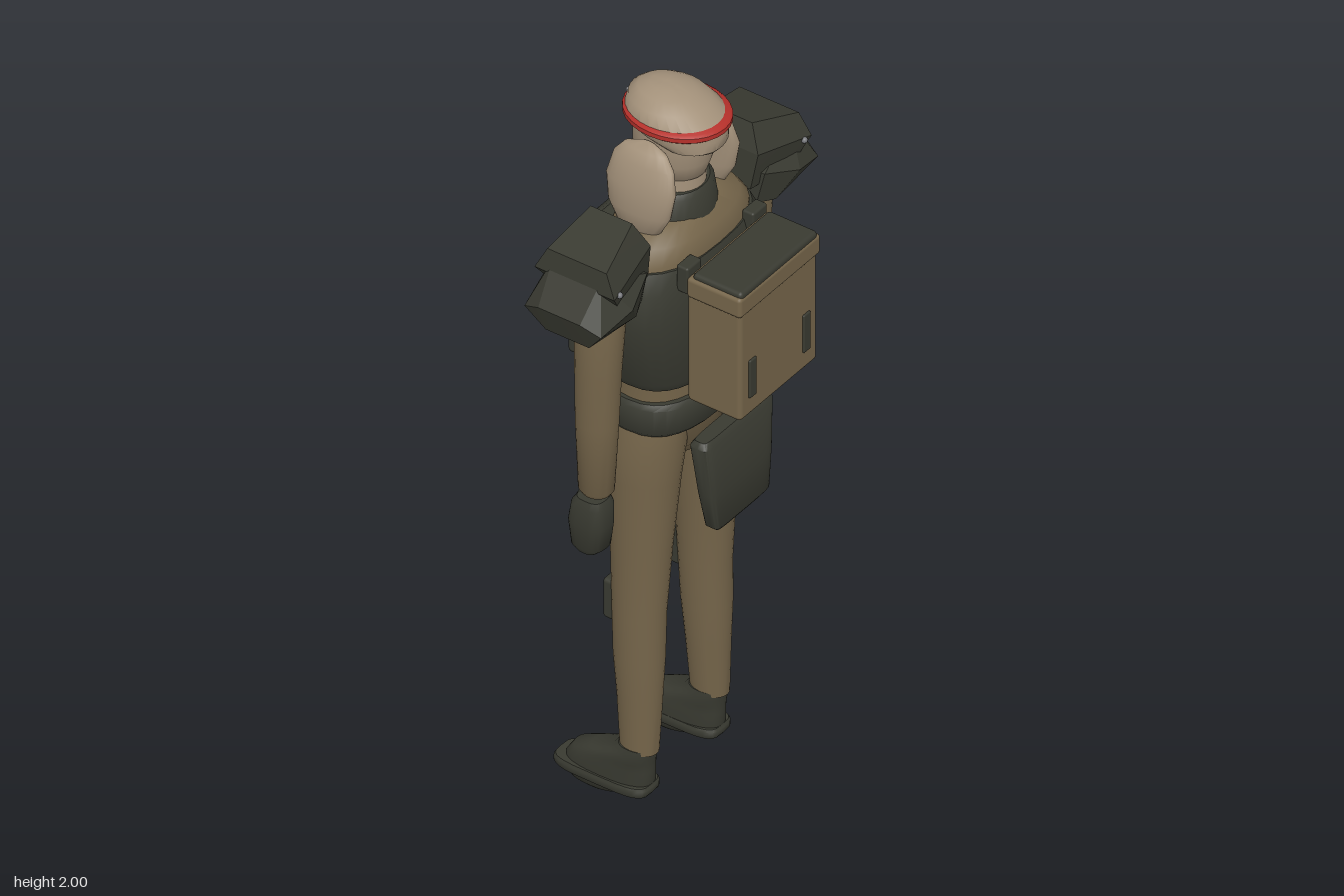
import * as THREE from 'three';
import { toCreasedNormals } from 'three/addons/utils/BufferGeometryUtils.js';
import { RoundedBoxGeometry } from 'three/addons/geometries/RoundedBoxGeometry.js';
import { ConvexGeometry } from 'three/addons/geometries/ConvexGeometry.js';

const mat = (name, color) => {
  const m = new THREE.MeshStandardMaterial({ color });
  m.name = name;
  return m;
};

// Closed solid through superellipse sections [y, cx, cz, rx, rz], listed bottom to top
function loft(sections, power = 2, seg = 28) {
  const pos = [], idx = [];
  for (const [y, cx, cz, rx, rz] of sections) {
    for (let i = 0; i < seg; i++) {
      const a = (i / seg) * Math.PI * 2, c = Math.cos(a), s = Math.sin(a);
      pos.push(cx + rx * Math.sign(c) * Math.abs(c) ** (2 / power), y,
        cz + rz * Math.sign(s) * Math.abs(s) ** (2 / power));
    }
  }
  const n = sections.length;
  for (let r = 0; r < n - 1; r++) {
    for (let i = 0; i < seg; i++) {
      const a = r * seg + i, b = r * seg + (i + 1) % seg;
      idx.push(a, a + seg, b, b, a + seg, b + seg);
    }
  }
  // end caps
  [0, n - 1].forEach((r, top) => {
    const centre = pos.length / 3;
    pos.push(sections[r][1], sections[r][0], sections[r][2]);
    for (let i = 0; i < seg; i++) {
      const a = r * seg + i, b = r * seg + (i + 1) % seg;
      idx.push(centre, ...(top ? [b, a] : [a, b]));
    }
  });
  const g = new THREE.BufferGeometry();
  g.setAttribute('position', new THREE.Float32BufferAttribute(pos, 3));
  g.setIndex(idx);
  return toCreasedNormals(g, 0.75);
}

export function createModel() {
  const cloth = mat('tan cloth', 0x75654a);
  const skin = mat('pale skin', 0xa3917a);
  const dark = mat('dark armour', 0x393a31);
  const red = mat('red band', 0xb5302a);
  const metal = mat('grey metal', 0x77787c);

  const model = new THREE.Group();
  const add = (name, geo, m, parent = model) => {
    const mesh = new THREE.Mesh(geo, m);
    mesh.name = name;
    parent.add(mesh);
    return mesh;
  };
  // Rounded box given by its extents
  const box = (name, m, [x0, x1], [y0, y1], [z0, z1], r = 0.008, parent = model) => {
    const mesh = add(name, new RoundedBoxGeometry(x1 - x0, y1 - y0, z1 - z0, 2, r), m, parent);
    mesh.position.set((x0 + x1) / 2, (y0 + y1) / 2, (z0 + z1) / 2);
    return mesh;
  };
  const ball = (name, m, c, r, parent = model) => {
    const mesh = add(name, new THREE.SphereGeometry(1, 28, 18), m, parent);
    mesh.position.set(...c);
    mesh.scale.set(...r);
    return mesh;
  };

  // Head, cap and band
  add('head', loft([[1.755, 0, -0.035, 0.04, 0.06], [1.775, 0, -0.035, 0.07, 0.085],
    [1.82, 0, -0.035, 0.085, 0.1], [1.88, 0, -0.03, 0.09, 0.105], [1.93, 0, -0.03, 0.09, 0.105]]), skin);
  add('cap', loft([[1.868, 0, 0.055, 0.05, 0.04], [1.88, 0, 0.025, 0.085, 0.08],
    [1.905, 0, -0.01, 0.102, 0.115], [1.94, 0, -0.027, 0.107, 0.127], [1.97, 0, -0.045, 0.088, 0.102],
    [1.988, 0, -0.055, 0.06, 0.07], [1.997, 0, -0.06, 0.03, 0.035], [2, 0, -0.06, 0.008, 0.01]]), skin);
  add('headBand', loft([[1.92, 0, -0.022, 0.108, 0.13], [1.926, 0, -0.022, 0.115, 0.137],
    [1.938, 0, -0.022, 0.115, 0.137], [1.944, 0, -0.022, 0.108, 0.13]]), red);
  box('bandClasp', metal, [-0.012, 0.012], [1.922, 1.942], [-0.164, -0.155], 0.003);
  add('neck', loft([[1.64, 0, -0.03, 0.075, 0.08], [1.79, 0, -0.03, 0.068, 0.075]]), skin);
  add('collar', loft([[1.62, 0, -0.03, 0.115, 0.105], [1.67, 0, -0.03, 0.108, 0.1],
    [1.73, 0, -0.03, 0.1, 0.09], [1.742, 0, -0.03, 0.088, 0.08]]), dark);

  // Torso, vest and belt
  add('torso', loft([[1.14, 0, -0.025, 0.185, 0.115], [1.25, 0, -0.025, 0.185, 0.115],
    [1.5, 0, -0.027, 0.22, 0.13], [1.61, 0, -0.027, 0.215, 0.127], [1.65, 0, -0.027, 0.185, 0.115],
    [1.68, 0, -0.03, 0.12, 0.09]], 2.4), cloth);
  add('vest', loft([[1.245, 0, -0.027, 0.195, 0.13], [1.27, 0, -0.027, 0.21, 0.142],
    [1.45, 0, -0.027, 0.25, 0.148], [1.55, 0, -0.027, 0.245, 0.145], [1.6, 0, -0.027, 0.218, 0.13]], 2.6), dark);
  add('belt', loft([[1.11, 0, -0.03, 0.195, 0.13], [1.122, 0, -0.03, 0.204, 0.14],
    [1.19, 0, -0.03, 0.204, 0.14], [1.202, 0, -0.03, 0.195, 0.13]], 2.6), dark);
  add('pelvis', loft([[0.97, 0, -0.03, 0.05, 0.06], [1.02, 0, -0.03, 0.14, 0.09],
    [1.13, 0, -0.03, 0.19, 0.115]], 2.3), cloth);

  // Hanging flaps under the belt on both faces
  add('packSideFlap', loft([[0.838, 0, 0.15, 0.095, 0.014], [0.85, 0, 0.15, 0.108, 0.022],
    [0.95, 0, 0.143, 0.124, 0.026], [1.09, 0, 0.133, 0.138, 0.03], [1.104, 0, 0.132, 0.128, 0.02]], 6, 32), dark);
  add('buckleSideFlap', loft([[0.838, 0, -0.207, 0.095, 0.012], [0.85, 0, -0.206, 0.108, 0.02],
    [0.95, 0, -0.2, 0.124, 0.024], [1.09, 0, -0.19, 0.138, 0.028], [1.104, 0, -0.189, 0.128, 0.02]], 6, 32), dark);
  box('buckle', metal, [-0.025, 0.025], [1.145, 1.18], [-0.19, -0.165], 0.004);
  box('buckleTongue', metal, [-0.022, 0.022], [1.105, 1.145], [-0.215, -0.175], 0.004);

  // Belt pouches
  box('rearBeltPouch', dark, [0.135, 0.182], [1.035, 1.115], [0.04, 0.105]);

  // Backpack
  box('backpackBody', cloth, [-0.155, 0.155], [1.238, 1.6], [0.115, 0.27], 0.012);
  box('backpackFlap', cloth, [-0.162, 0.162], [1.545, 1.602], [0.118, 0.275], 0.01);
  box('backpackLid', dark, [-0.154, 0.154], [1.585, 1.614], [0.13, 0.272], 0.01);
  for (const s of [-1, 1]) {
    box('backpackSlot', dark, [s * 0.108 - 0.014, s * 0.108 + 0.014], [1.29, 1.4], [0.262, 0.275], 0.004);
  }

  // Chest bag on its backing plate
  box('bagPlate', dark, [-0.19, 0.19], [1.26, 1.595], [-0.205, -0.155], 0.012);
  add('chestBag', loft([[1.312, 0, -0.215, 0.135, 0.014], [1.325, 0, -0.22, 0.16, 0.025],
    [1.38, 0, -0.233, 0.19, 0.032], [1.44, 0, -0.237, 0.205, 0.034], [1.5, 0, -0.235, 0.215, 0.033],
    [1.545, 0, -0.223, 0.22, 0.028], [1.56, 0, -0.216, 0.21, 0.016]], 5, 40), dark);
  for (const y of [1.335, 1.45]) {
    box('bagStud', metal, [-0.01, 0.01], [y - 0.01, y + 0.01], [-0.275, -0.24], 0.004);
  }

  for (const s of [-1, 1]) {
    const side = new THREE.Group();
    side.name = s > 0 ? 'leftSide' : 'rightSide';
    model.add(side);
    const span = (a, b) => (s > 0 ? [a, b] : [-b, -a]);

    // Long ear
    add('ear', loft([[1.645, s * 0.125, -0.04, 0.012, 0.03], [1.665, s * 0.128, -0.04, 0.024, 0.06],
      [1.72, s * 0.13, -0.038, 0.031, 0.088], [1.79, s * 0.128, -0.035, 0.032, 0.098],
      [1.85, s * 0.117, -0.035, 0.026, 0.085], [1.88, s * 0.108, -0.035, 0.018, 0.06],
      [1.893, s * 0.1, -0.035, 0.006, 0.02]]), skin, side);

    // Vest strap clips, both faces
    box('rearStrapClip', dark, span(0.103, 0.16), [1.55, 1.625], [0.088, 0.122], 0.006, side);
    box('frontStrapClip', dark, span(0.103, 0.16), [1.53, 1.63], [-0.195, -0.165], 0.006, side);
    box('strap', dark, span(0.108, 0.155), [1.59, 1.615], [-0.17, -0.14], 0.006, side);
    box('chestPouch', dark, span(0.03, 0.12), [1.25, 1.32], [-0.232, -0.17], 0.01, side);
    box('frontBeltPouch', dark, span(0.13, 0.18), [1.03, 1.115], [-0.185, -0.1], 0.008, side);

    // Arm and hand
    add('arm', loft([[0.985, s * 0.293, -0.045, 0.032, 0.036], [0.998, s * 0.293, -0.045, 0.04, 0.045],
      [1.2, s * 0.297, -0.04, 0.049, 0.054], [1.35, s * 0.297, -0.037, 0.053, 0.058],
      [1.5, s * 0.293, -0.035, 0.056, 0.065], [1.6, s * 0.27, -0.035, 0.06, 0.068]]), cloth, side);
    add('hand', loft([[0.812, s * 0.293, -0.062, 0.028, 0.026], [0.83, s * 0.293, -0.06, 0.038, 0.044],
      [0.9, s * 0.296, -0.058, 0.042, 0.052], [0.955, s * 0.297, -0.053, 0.041, 0.047],
      [0.975, s * 0.297, -0.05, 0.034, 0.036]], 3), dark, side);
    ball('thumb', dark, [s * 0.275, 0.91, -0.1], [0.018, 0.045, 0.018], side);

    // Two faceted shoulder plates
    const hull = (name, points) => {
      const g = new ConvexGeometry(points.map(([x, y, z]) => new THREE.Vector3(s * x, y, z)));
      add(name, toCreasedNormals(g, 0.15), dark, side);
    };
    const rows = (list) => list.flatMap(([x, y, z0, z1]) => [[x, y, z0], [x, y, z1]]);
    hull('upperShoulderPlate', rows([[0.24, 1.765, -0.1, 0.02], [0.385, 1.72, -0.12, 0.05],
      [0.215, 1.7, -0.135, 0.055], [0.395, 1.66, -0.15, 0.08], [0.205, 1.6, -0.12, 0.04],
      [0.35, 1.6, -0.13, 0.06]]));
    hull('lowerShoulderPlate', rows([[0.235, 1.635, -0.135, 0.06], [0.38, 1.685, -0.11, 0.03],
      [0.45, 1.595, -0.1, 0.02], [0.435, 1.57, -0.15, 0.07], [0.335, 1.6, -0.165, 0.09],
      [0.42, 1.513, -0.1, 0.025], [0.28, 1.535, -0.13, 0.06], [0.23, 1.545, -0.11, 0.04]]));
    for (const z of [-0.095, 0.035]) {
      ball('shoulderRivet', metal, [s * 0.37, 1.66, z + Math.sign(z + 0.03) * 0.042], [0.008, 0.008, 0.008], side);
    }

    // Leg and knee pad
    add('leg', loft([[0.15, s * 0.141, -0.03, 0.04, 0.05], [0.3, s * 0.137, -0.032, 0.05, 0.057],
      [0.42, s * 0.135, -0.035, 0.057, 0.065], [0.55, s * 0.132, -0.037, 0.06, 0.068],
      [0.75, s * 0.127, -0.034, 0.068, 0.078], [0.95, s * 0.12, -0.032, 0.083, 0.092],
      [1.05, s * 0.115, -0.03, 0.092, 0.1], [1.12, s * 0.11, -0.03, 0.085, 0.1]]), cloth, side);
    box('kneePad', dark, span(0.095, 0.17), [0.508, 0.622], [-0.118, -0.078], 0.01, side);

    // Shoe
    add('shoe', loft([[0.035, s * 0.14, -0.118, 0.046, 0.12], [0.065, s * 0.14, -0.112, 0.048, 0.12],
      [0.095, s * 0.14, -0.102, 0.047, 0.11], [0.118, s * 0.141, -0.075, 0.046, 0.083],
      [0.14, s * 0.141, -0.044, 0.046, 0.054], [0.162, s * 0.141, -0.034, 0.042, 0.044]], 2.5), dark, side);
    add('sole', loft([[0.03, s * 0.142, -0.124, 0.05, 0.13], [0.036, s * 0.142, -0.124, 0.053, 0.134],
      [0.05, s * 0.142, -0.124, 0.053, 0.134], [0.056, s * 0.142, -0.124, 0.05, 0.13]], 4), dark, side);
    add('tread', loft([[0, s * 0.142, -0.145, 0.03, 0.045], [0.01, s * 0.142, -0.145, 0.04, 0.075],
      [0.035, s * 0.142, -0.14, 0.046, 0.1]], 2.5), dark, side);
  }
  return model;
}
